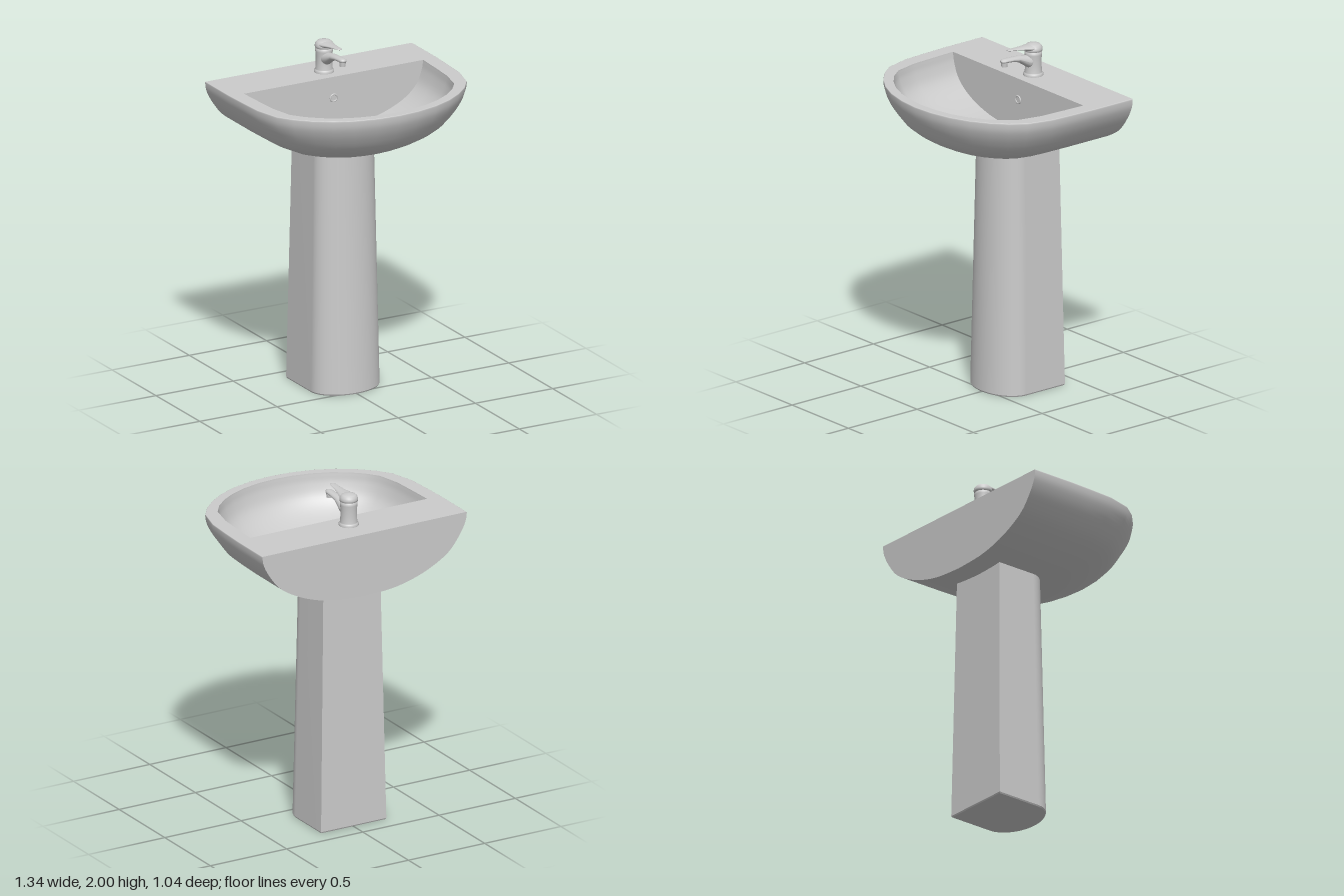
import * as THREE from 'three';

const material = new THREE.MeshStandardMaterial({ color: 0xcccccc, side: THREE.DoubleSide });
const RIM = 1.81, CENTRE = -0.1, TAP_Z = -0.345;

function add(group, name, geometry, x = 0, y = 0, z = 0) {
  const mesh = new THREE.Mesh(geometry, material);
  mesh.name = name;
  mesh.position.set(x, y, z);
  group.add(mesh);
  return mesh;
}

// Smooth skin through rows of [x, y, z] points
function loft(rows, flip = false) {
  const n = rows[0].length, index = [];
  for (let i = 0; i < rows.length - 1; i++) {
    for (let j = 0; j < n - 1; j++) {
      const a = i * n + j, b = a + 1, c = a + n, d = c + 1;
      if (flip) index.push(a, c, b, b, c, d);
      else index.push(a, b, c, b, d, c);
    }
  }
  const geometry = new THREE.BufferGeometry();
  geometry.setAttribute('position', new THREE.Float32BufferAttribute(rows.flat(2), 3));
  geometry.setIndex(index);
  geometry.computeVertexNormals();
  return geometry;
}

// Mirror a half outline (back corner to front middle) into a full one
const mirror = (half) => [...half, ...half.slice(0, -1).reverse().map(([x, z]) => [-x, z])];

const shapeOf = (points) => new THREE.Shape(points.map(([x, y]) => new THREE.Vector2(x, y)));

// Shrink only the part of an outline ahead of the bowl centre; the back stays put
const shrink = (outline, s) =>
  outline.map(([x, z]) => [x * s, z > CENTRE ? CENTRE + (z - CENTRE) * s : z]);

const smoothProfile = (points) =>
  new THREE.SplineCurve(points.map(([s, y]) => new THREE.Vector2(s, y))).getPoints(32);

// Bowl skin: the plan outline shrinks as it goes down
const bowlSkin = (outline, profile, flip) =>
  loft(profile.map((p) => shrink(outline, p.x).map(([x, z]) => [x, p.y, z])), flip);

// Flat upright wall closing the back of a bowl skin
const bowlWall = (halfWidth, profile) =>
  new THREE.ShapeGeometry(shapeOf([
    ...profile.map((p) => [p.x * halfWidth, p.y]),
    ...profile.slice(0, -1).reverse().map((p) => [-p.x * halfWidth, p.y]),
  ]));

// Oval sections along z: [z, y, halfWidth, halfHeight]
function ovalLoft(sections) {
  return loft(sections.map(([z, y, w, h]) =>
    Array.from({ length: 21 }, (_, k) => {
      const a = (k / 20) * Math.PI * 2;
      return [w * Math.cos(a), y + h * Math.sin(a), z];
    })));
}

const lathe = (points) =>
  new THREE.LatheGeometry(points.map(([r, y]) => new THREE.Vector2(r, y)), 32);

function makeBasin() {
  const basin = new THREE.Group();
  basin.name = 'basin';
  const outer = mirror([[0.67, -0.52], [0.67, -0.25], [0.664, -0.1], [0.655, 0.05], [0.615, 0.2],
    [0.553, 0.285], [0.472, 0.36], [0.375, 0.425], [0.26, 0.475], [0.13, 0.506], [0, 0.517]]);
  const inner = mirror([[0.58, -0.235], [0.574, -0.1], [0.565, 0.06], [0.533, 0.2], [0.478, 0.275],
    [0.405, 0.34], [0.32, 0.392], [0.22, 0.432], [0.11, 0.456], [0, 0.464]]);
  const outerProfile = smoothProfile([[0.994, RIM], [1, 1.802], [0.985, 1.75], [0.925, 1.675],
    [0.82, 1.59], [0.66, 1.525], [0.48, 1.478], [0.27, 1.447], [0, 1.436]]);
  const innerProfile = smoothProfile([[1, RIM], [0.996, 1.795], [0.98, 1.75], [0.93, 1.68],
    [0.83, 1.62], [0.68, 1.57], [0.48, 1.53], [0.25, 1.507], [0, 1.5]]);

  add(basin, 'outerBowl', bowlSkin(outer, outerProfile, false));
  add(basin, 'backPanel', bowlWall(0.67, outerProfile).rotateY(Math.PI), 0, 0, -0.52);
  add(basin, 'innerBowl', bowlSkin(inner, innerProfile, true));
  add(basin, 'innerBackWall', bowlWall(0.58, innerProfile), 0, 0, -0.235);

  // Flat rim and tap deck around the opening
  const rim = shapeOf(shrink(outer, 0.994).map(([x, z]) => [x, -z]));
  rim.holes.push(shapeOf(inner.map(([x, z]) => [x, -z])));
  add(basin, 'rim', new THREE.ShapeGeometry(rim).rotateX(-Math.PI / 2), 0, RIM, 0);

  // Drain and overflow
  add(basin, 'drain', lathe([[0.053, 0], [0.051, 0.006], [0.038, 0.006], [0.034, 0.002], [0, 0.002]]),
    0, 1.502, -0.12);
  add(basin, 'overflowRing', new THREE.TorusGeometry(0.021, 0.005, 10, 28), 0, 1.685, -0.234);
  add(basin, 'overflowPlate', new THREE.CircleGeometry(0.02, 28), 0, 1.685, -0.233);
  return basin;
}

function makePedestal() {
  const pedestal = new THREE.Group();
  pedestal.name = 'pedestal';
  // Straight sides, rounded front, flat back
  const section = (w, back, front) => {
    const bend = back + (front - back) * 0.65;
    const arc = Array.from({ length: 13 }, (_, k) => {
      const a = (k / 12) * Math.PI / 2;
      return [w * Math.cos(a), bend + (front - bend) * Math.sin(a)];
    });
    return mirror([[w, back], ...arc]);
  };
  const rows = [[1.47, 0.187, -0.38, 0], [0.008, 0.214, -0.4, 0.034], [0, 0.21, -0.396, 0.03]];
  const outlines = rows.map(([y, w, b, f]) => section(w, b, f).map(([x, z]) => [x, y, z]));
  add(pedestal, 'column', loft(outlines.slice(0, 2)));
  add(pedestal, 'footEdge', loft(outlines.slice(1)));
  add(pedestal, 'columnBack', loft(outlines.slice(0, 2).map((o) => [o[o.length - 1], o[0]])));
  add(pedestal, 'footBackEdge', loft(outlines.slice(1).map((o) => [o[o.length - 1], o[0]])));
  add(pedestal, 'underside',
    new THREE.ShapeGeometry(shapeOf(outlines[2].map(([x, , z]) => [x, z]))).rotateX(Math.PI / 2));
  return pedestal;
}

function makeTap() {
  const tap = new THREE.Group();
  tap.name = 'tap';
  add(tap, 'tapBody', lathe([[0.057, RIM], [0.057, 1.82], [0.053, 1.826], [0.049, 1.83], [0.047, 1.87],
    [0.047, 1.91], [0.05, 1.935], [0.05, 1.947], [0.045, 1.95], [0.045, 1.956]]), 0, 0, TAP_Z);
  add(tap, 'tapCap', lathe([[0.045, 1.954], [0.052, 1.957], [0.053, 1.968], [0.05, 1.982],
    [0.04, 1.993], [0.022, 1.998], [0, 2]]), 0, 0, TAP_Z);
  add(tap, 'lever', ovalLoft([[-0.35, 1.978, 0.05, 0.018], [-0.3, 1.98, 0.041, 0.016],
    [-0.27, 1.984, 0.031, 0.012], [-0.23, 1.989, 0.023, 0.008], [-0.19, 1.993, 0.019, 0.005],
    [-0.168, 1.995, 0.017, 0.004], [-0.16, 1.995, 0.011, 0.003], [-0.158, 1.995, 0, 0]]));
  add(tap, 'spout', ovalLoft([[-0.345, 1.895, 0.038, 0.04], [-0.3, 1.9, 0.036, 0.036],
    [-0.27, 1.913, 0.031, 0.028], [-0.235, 1.928, 0.026, 0.019], [-0.19, 1.935, 0.024, 0.014],
    [-0.145, 1.938, 0.023, 0.013], [-0.125, 1.938, 0.021, 0.013], [-0.114, 1.938, 0.014, 0.009],
    [-0.111, 1.938, 0, 0]]));
  add(tap, 'nozzle', new THREE.CylinderGeometry(0.019, 0.017, 0.03, 24), 0, 1.92, -0.134);
  return tap;
}

export function createModel() {
  const model = new THREE.Group();
  model.name = 'pedestalSink';
  model.add(makeBasin(), makePedestal(), makeTap());
  return model;
}
